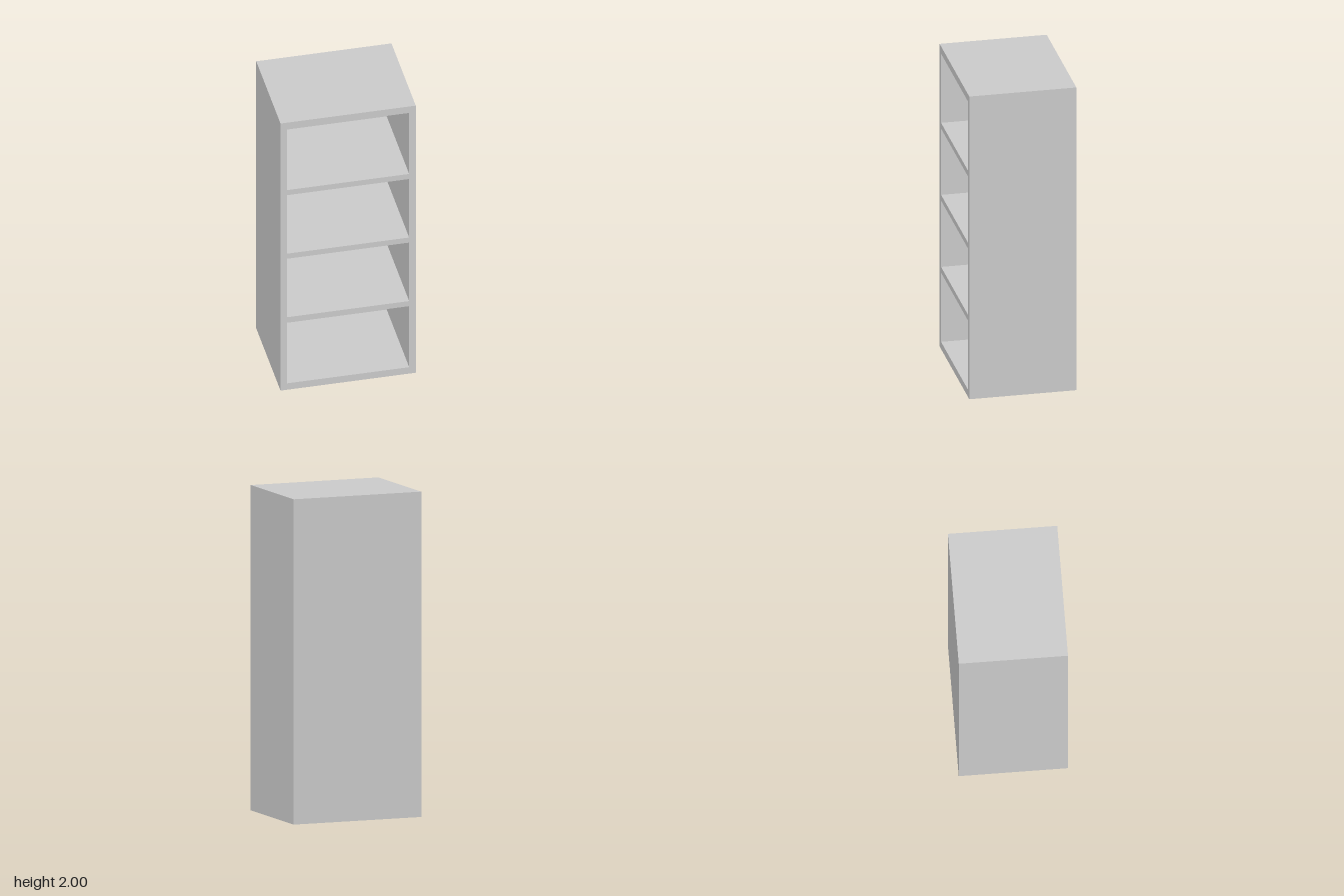
import * as THREE from 'three';

const WIDTH = 0.844, HEIGHT = 2, DEPTH = 0.667;
const SIDE = 0.041, RAIL = 0.048, BACK = 0.05, SHELF = 0.038;
const BAYS = 4;

function rectangle(ShapeType, x0, y0, x1, y1) {
  const s = new ShapeType();
  s.moveTo(x0, y0);
  s.lineTo(x1, y0);
  s.lineTo(x1, y1);
  s.lineTo(x0, y1);
  s.closePath();
  return s;
}

export function createModel() {
  const group = new THREE.Group();
  group.name = 'bookcase';
  const material = new THREE.MeshStandardMaterial({ color: 0xcccccc });
  const half = WIDTH / 2;

  // Sides, top, bottom and shelves: one frame pierced by four open bays
  const outline = rectangle(THREE.Shape, -half, 0, half, HEIGHT);
  const pitch = (HEIGHT - 2 * RAIL) / BAYS;
  for (let i = 0; i < BAYS; i++) {
    const y0 = RAIL + i * pitch + (i > 0 ? SHELF / 2 : 0);
    const y1 = RAIL + (i + 1) * pitch - (i < BAYS - 1 ? SHELF / 2 : 0);
    outline.holes.push(rectangle(THREE.Path, -half + SIDE, y0, half - SIDE, y1));
  }
  const frame = new THREE.Mesh(
    new THREE.ExtrudeGeometry(outline, { depth: DEPTH - BACK, bevelEnabled: false }),
    material
  );
  frame.name = 'shelfFrame';
  frame.position.z = -DEPTH / 2 + BACK;
  group.add(frame);

  // Solid panel closing the rear
  const back = new THREE.Mesh(new THREE.BoxGeometry(WIDTH, HEIGHT, BACK), material);
  back.name = 'backPanel';
  back.position.set(0, HEIGHT / 2, -DEPTH / 2 + BACK / 2);
  group.add(back);

  return group;
}
